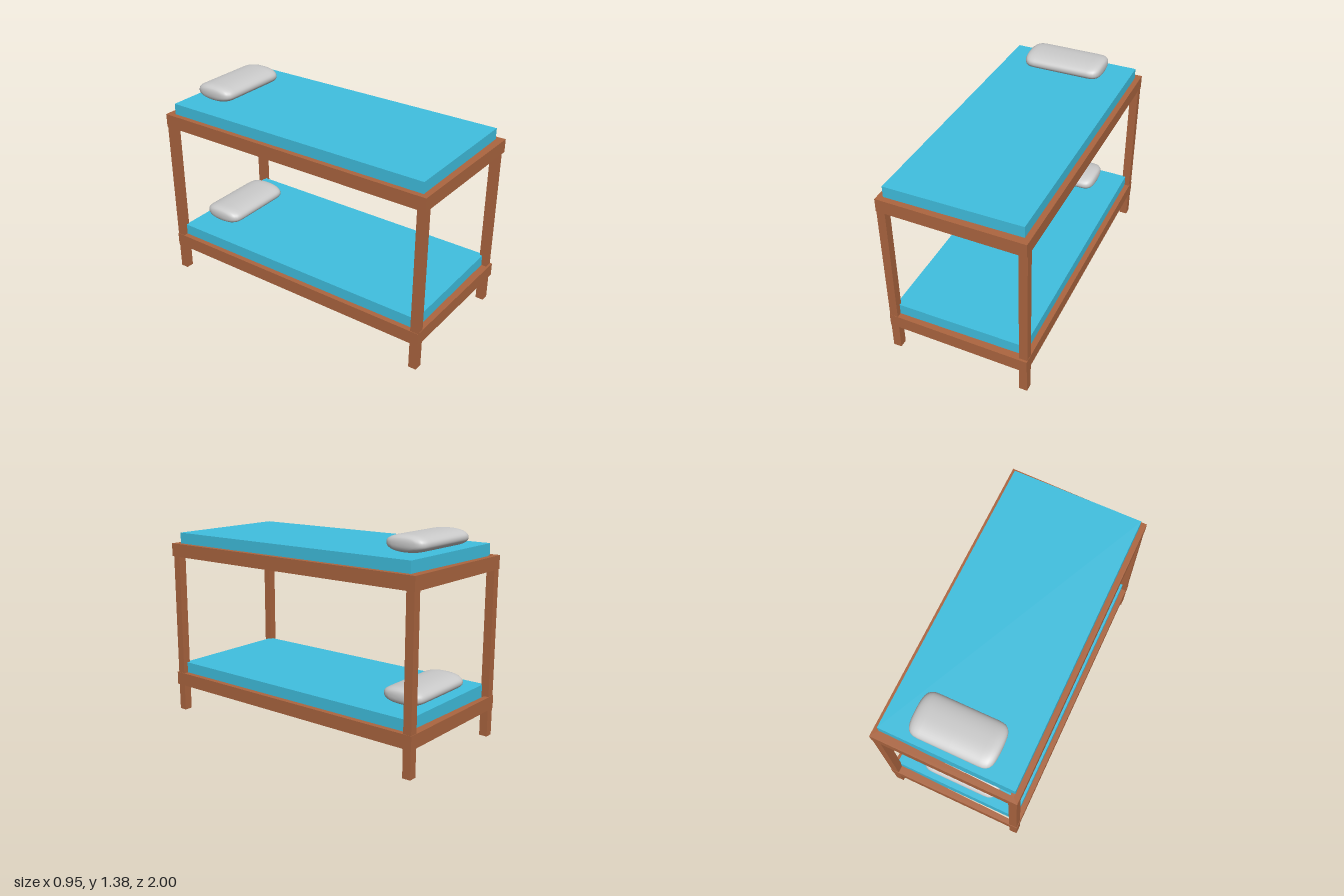
import * as THREE from 'three';
import { mergeVertices } from 'three/addons/utils/BufferGeometryUtils.js';

const wood = new THREE.MeshStandardMaterial({ color: 0xad6640 });
const blue = new THREE.MeshStandardMaterial({ color: 0x40c0e0 });
const grey = new THREE.MeshStandardMaterial({ color: 0xcccccc });

function add(parent, name, geometry, material) {
  const mesh = new THREE.Mesh(geometry, material);
  mesh.name = name;
  parent.add(mesh);
  return mesh;
}

// Box given by its extents along each axis
function box(x0, x1, y0, y1, z0, z1) {
  return new THREE.BoxGeometry(x1 - x0, y1 - y0, z1 - z0)
    .translate((x0 + x1) / 2, (y0 + y1) / 2, (z0 + z1) / 2);
}

// Slightly skewed rectangular ring of rails; points are [x, z],
// outline counter-clockwise and hole clockwise
function railGeometry(height) {
  const toPoints = (list) => list.map(([x, z]) => new THREE.Vector2(x, -z));
  const ring = new THREE.Shape(toPoints([[-0.478, 0.985], [0.477, 0.999], [0.477, -1], [-0.478, -1]]));
  ring.holes.push(new THREE.Path(toPoints([[-0.441, -0.965], [0.44, -0.945], [0.44, 0.947], [-0.441, 0.94]])));
  return new THREE.ExtrudeGeometry(ring, { depth: height, bevelEnabled: false }).rotateX(-Math.PI / 2);
}

// Soft cushion: a rounded roll flattened into a full oval section
function pillowGeometry() {
  const end = [[0, 0.275], [0.3, 0.2745], [0.55, 0.271], [0.72, 0.265], [0.85, 0.254], [0.94, 0.238], [0.985, 0.218], [1, 0.19]];
  const profile = [
    ...end.map(([r, h]) => new THREE.Vector2(r, -h)),
    new THREE.Vector2(1, 0),
    ...end.map(([r, h]) => new THREE.Vector2(r, h)).reverse(),
  ];
  const lathe = new THREE.LatheGeometry(profile, 48).rotateZ(-Math.PI / 2);
  const pos = lathe.attributes.position;
  const swell = (v, r) => (r > 1e-6 ? Math.sign(v) * r * Math.abs(v / r) ** 0.88 : 0);
  for (let i = 0; i < pos.count; i++) {
    const y = pos.getY(i), z = pos.getZ(i), r = Math.hypot(y, z);
    pos.setXYZ(i, pos.getX(i), 0.054 * swell(y, r), 0.146 * swell(z, r));
  }
  // Join the seam so the shading is smooth all round
  lathe.deleteAttribute('uv');
  lathe.deleteAttribute('normal');
  const joined = mergeVertices(lathe);
  joined.computeVertexNormals();
  return joined;
}

export function createModel() {
  const bed = new THREE.Group();
  bed.name = 'bunkBed';

  // Four corner posts
  for (const side of [-1, 1]) {
    const [x0, x1] = side < 0 ? [-0.475, -0.42] : [0.42, 0.475];
    const name = side < 0 ? 'right' : 'left';
    add(bed, name + 'FrontPost', box(x0, x1, 0, 1.19, 0.93, 0.984), wood);
    add(bed, name + 'BackPost', box(x0, x1, 0, 1.19, -0.997, -0.942), wood);
  }

  // Two bunks, each with rails, mattress and pillow
  for (const [name, railBottom] of [['lower', 0.182], ['upper', 1.104]]) {
    const bunk = new THREE.Group();
    bunk.name = name + 'Bunk';
    bed.add(bunk);
    add(bunk, name + 'Rails', railGeometry(0.089), wood).position.y = railBottom;
    const top = railBottom + 0.163;
    add(bunk, name + 'Mattress', box(-0.443, 0.441, railBottom + 0.045, top, -0.947, 0.948), blue);
    add(bunk, name + 'Pillow', pillowGeometry(), grey).position.set(-0.003, top + 0.054, -0.77);
  }
  return bed;
}
